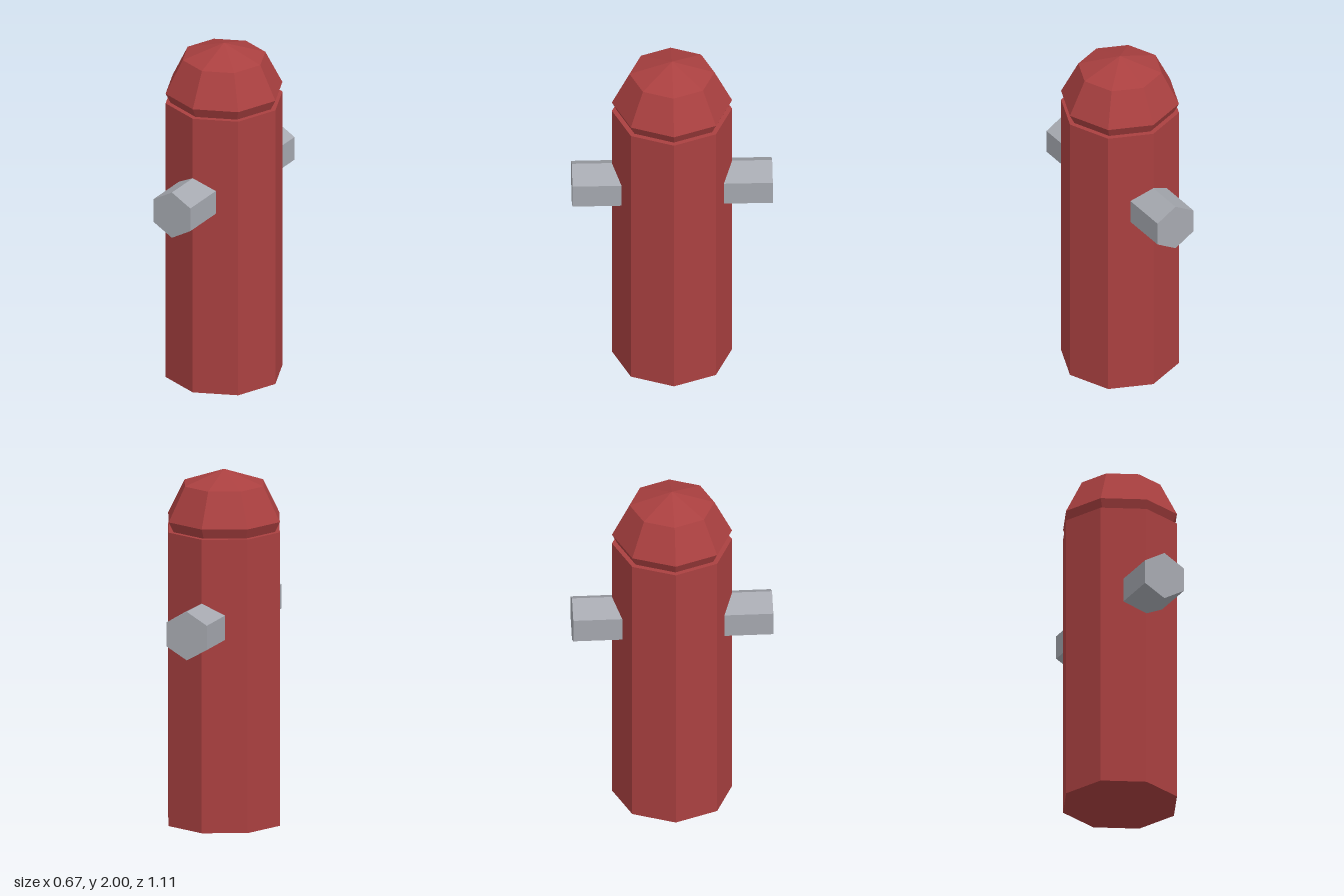
import * as THREE from 'three';

export function createModel() {
  const group = new THREE.Group();
  group.name = 'hydrant';

  const makeMaterial = (name, color) => {
    const material = new THREE.MeshStandardMaterial({ color, flatShading: true });
    material.name = name;
    return material;
  };
  const red = makeMaterial('red paint', 0xaa4040);
  const grey = makeMaterial('grey metal', 0xa6a9b0);

  const addPart = (name, geometry, material, y) => {
    const mesh = new THREE.Mesh(geometry, material);
    mesh.name = name;
    mesh.position.y = y;
    group.add(mesh);
    return mesh;
  };

  // Octagonal column
  const radius = 0.333;
  const bodyHeight = 1.667;
  addPart('body', new THREE.CylinderGeometry(radius, radius, bodyHeight, 8), red, bodyHeight / 2);

  // Flattened faceted dome, its lower half sunk into the column
  const dome = addPart('domeCap', new THREE.SphereGeometry(radius, 8, 4), red, 1.725);
  dome.scale.y = 0.275 / radius;

  // Hexagonal bar through the column, forming the front and back outlets
  const outlets = new THREE.CylinderGeometry(0.138, 0.138, 1.11, 6).rotateX(Math.PI / 2);
  addPart('outlets', outlets, grey, 1.167);

  return group;
}
